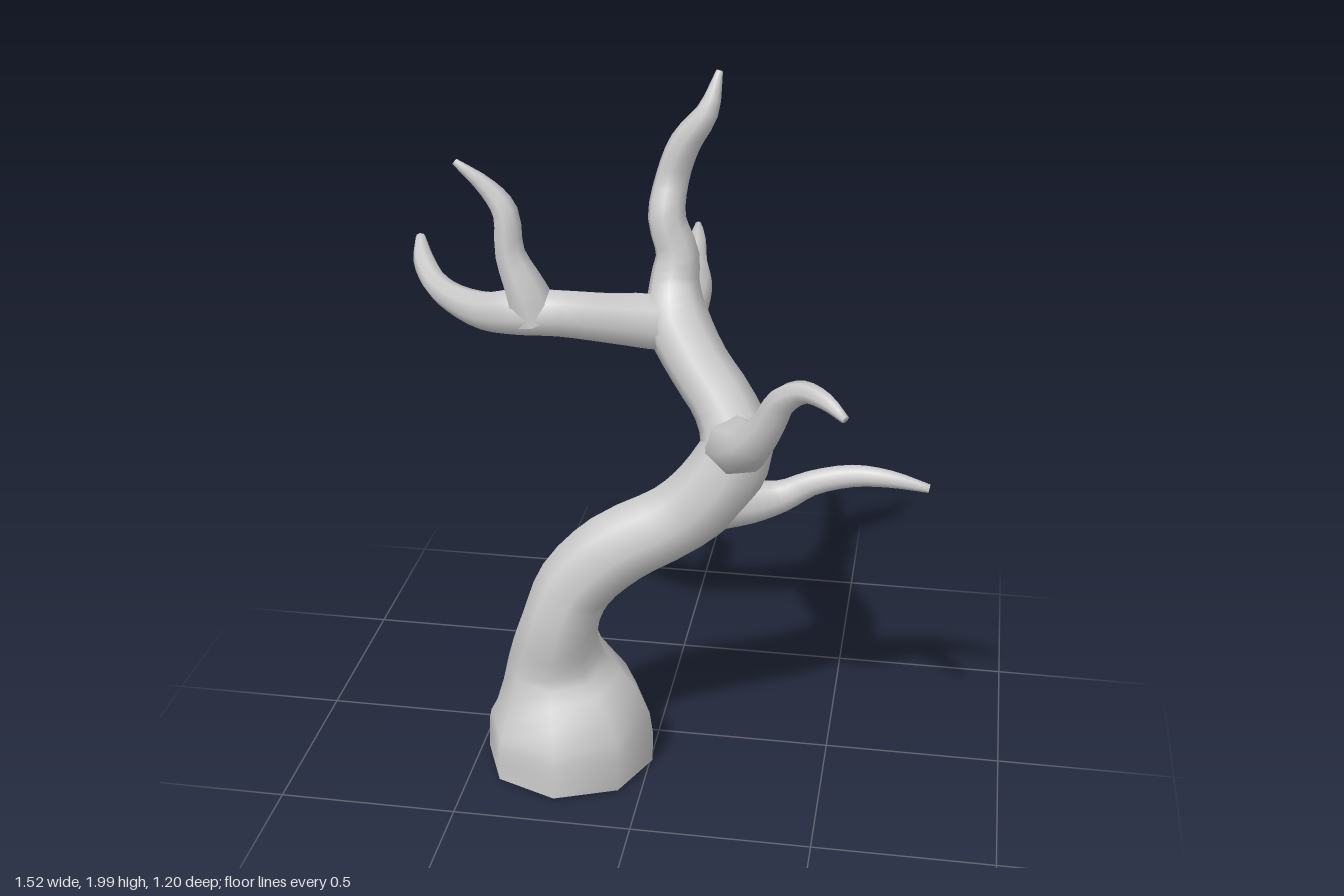
import * as THREE from 'three';

const material = new THREE.MeshStandardMaterial({ color: 0xcccccc, side: THREE.DoubleSide });

// Tapered limb through [x, y, z, radius] knots: open at the start, pointed at the tip
function limb(name, knots, sides, steps = 3) {
  const path = new THREE.CatmullRomCurve3(knots.map(k => new THREE.Vector3(k[0], k[1], k[2])));
  const girth = new THREE.CatmullRomCurve3(knots.map((k, i) => new THREE.Vector3(k[3], i * 0.1, 0)));
  const rings = (knots.length - 1) * steps;
  const positions = [], index = [];
  const normal = new THREE.Vector3(0, 0, 1), binormal = new THREE.Vector3();
  if (Math.abs(path.getTangent(0).z) > 0.7) normal.set(0, 1, 0);

  for (let i = 0; i <= rings; i++) {
    const t = i / rings;
    const p = path.getPoint(t), tangent = path.getTangent(t), r = girth.getPoint(t).x;
    // carry the frame along the path so the limb does not twist
    normal.addScaledVector(tangent, -normal.dot(tangent)).normalize();
    binormal.crossVectors(tangent, normal);
    for (let j = 0; j < sides; j++) {
      const a = (j / sides) * Math.PI * 2;
      const v = p.clone()
        .addScaledVector(normal, Math.cos(a) * r)
        .addScaledVector(binormal, Math.sin(a) * r);
      positions.push(v.x, v.y, v.z);
      if (i < rings) {
        const b = i * sides + j, c = i * sides + (j + 1) % sides;
        index.push(b, c, c + sides, b, c + sides, b + sides);
      }
    }
  }
  // tip cap
  const tip = path.getPoint(1);
  positions.push(tip.x, tip.y, tip.z);
  const last = rings * sides;
  for (let j = 0; j < sides; j++) index.push(last + j, last + (j + 1) % sides, last + sides);

  const geometry = new THREE.BufferGeometry();
  geometry.setAttribute('position', new THREE.Float32BufferAttribute(positions, 3));
  geometry.setIndex(index);
  geometry.computeVertexNormals();
  const mesh = new THREE.Mesh(geometry, material);
  mesh.name = name;
  return mesh;
}

export function createModel() {
  const tree = new THREE.Group();
  tree.name = 'bareTree';

  // Hollow flared trunk, leaning and curling up into the top branch
  tree.add(limb('trunk', [
    [-0.235, 0.01, 0.165, 0.243], [-0.235, 0.15, 0.162, 0.235], [-0.262, 0.33, 0.17, 0.147],
    [-0.245, 0.48, 0.22, 0.108], [-0.2, 0.6, 0.21, 0.108], [-0.09, 0.71, 0.19, 0.112],
    [0.08, 0.81, 0.17, 0.107], [0.18, 0.91, 0.165, 0.108], [0.235, 1.03, 0.155, 0.1],
    [0.2, 1.13, 0.125, 0.088], [0.12, 1.23, 0.08, 0.085], [0.055, 1.33, 0.025, 0.088],
    [0.04, 1.42, -0.015, 0.07], [0.045, 1.5, -0.03, 0.06], [0.015, 1.6, -0.035, 0.052],
    [0.025, 1.7, -0.065, 0.046], [0.06, 1.8, -0.06, 0.042], [0.12, 1.89, -0.05, 0.03],
    [0.148, 1.995, -0.065, 0.009],
  ], 8));

  // Long side branch that sweeps backward
  tree.add(limb('sideBranch', [
    [0.06, 1.31, 0.02, 0.07], [-0.02, 1.325, 0.03, 0.08], [-0.12, 1.345, 0.075, 0.072],
    [-0.25, 1.37, 0.125, 0.066], [-0.35, 1.37, 0.13, 0.066], [-0.46, 1.345, 0.075, 0.054],
    [-0.58, 1.335, -0.03, 0.041], [-0.66, 1.34, -0.13, 0.036], [-0.72, 1.37, -0.23, 0.03],
    [-0.75, 1.41, -0.31, 0.014],
  ], 8));

  // Upright fork on the side branch
  tree.add(limb('sideFork', [
    [-0.31, 1.36, 0.135, 0.07], [-0.335, 1.44, 0.145, 0.057], [-0.375, 1.54, 0.145, 0.041],
    [-0.385, 1.65, 0.14, 0.035], [-0.43, 1.71, 0.135, 0.026], [-0.515, 1.78, 0.14, 0.009],
  ], 7));

  // Branch pointing straight back
  tree.add(limb('backBranch', [
    [0.06, 1.34, 0.02, 0.07], [0.075, 1.37, -0.08, 0.056], [0.075, 1.375, -0.19, 0.043],
    [0.055, 1.385, -0.32, 0.031], [0.04, 1.405, -0.45, 0.023], [0.02, 1.395, -0.595, 0.009],
  ], 7));

  // Hooked branch reaching forward
  tree.add(limb('frontBranch', [
    [0.225, 1.04, 0.16, 0.085], [0.26, 1.08, 0.26, 0.078], [0.295, 1.125, 0.345, 0.06],
    [0.345, 1.21, 0.405, 0.046], [0.385, 1.3, 0.445, 0.038], [0.44, 1.345, 0.49, 0.029],
    [0.5, 1.35, 0.55, 0.022], [0.55, 1.325, 0.592, 0.011],
  ], 7));

  // Low branch pointing out to the left
  tree.add(limb('lowBranch', [
    [0.17, 0.86, 0.155, 0.085], [0.28, 0.86, 0.135, 0.062], [0.36, 0.875, 0.12, 0.045],
    [0.44, 0.92, 0.12, 0.035], [0.55, 0.95, 0.12, 0.031], [0.65, 0.953, 0.13, 0.024],
    [0.755, 0.935, 0.135, 0.012],
  ], 7));

  return tree;
}
